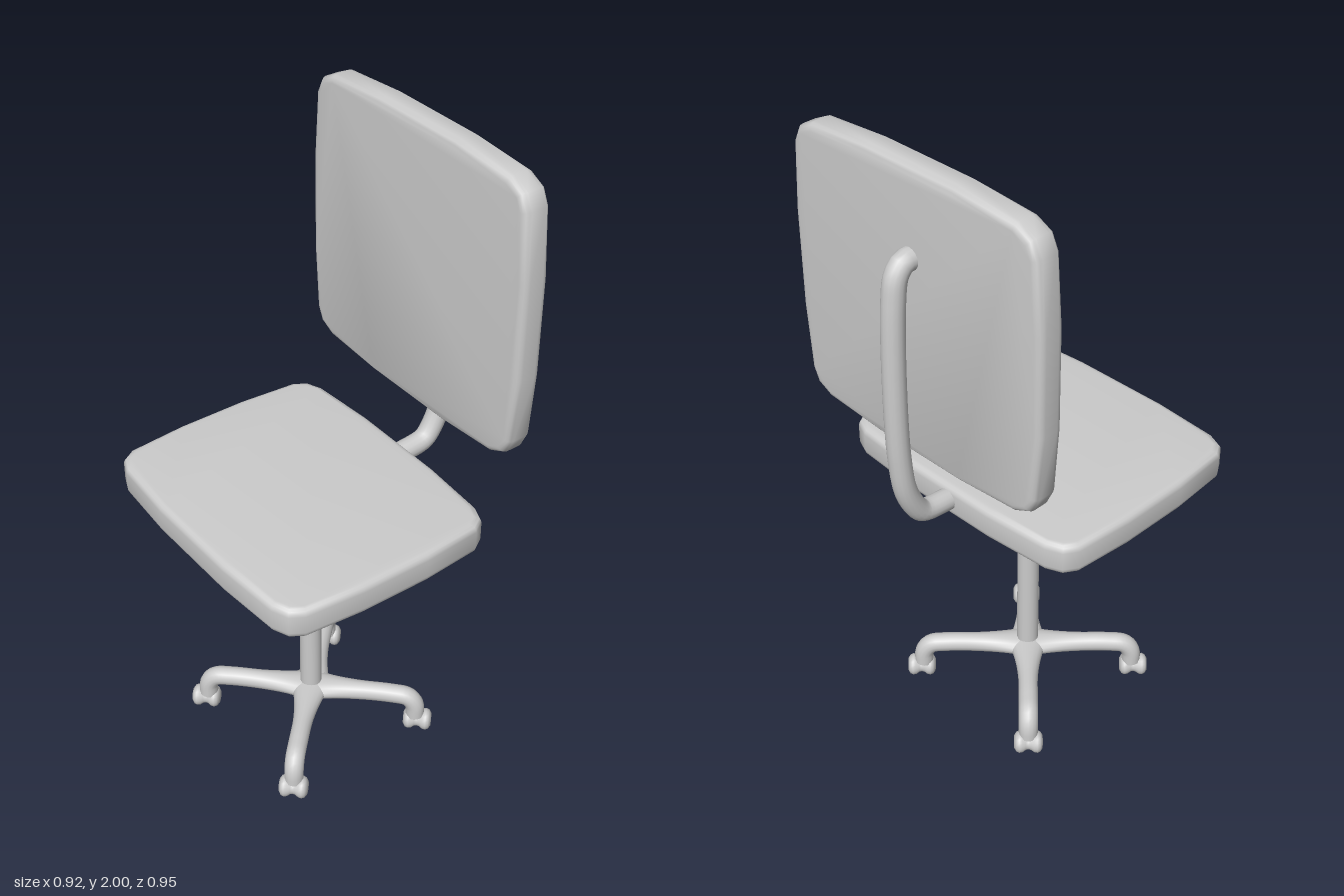
import * as THREE from 'three';
import { mergeVertices, toCreasedNormals } from 'three/addons/utils/BufferGeometryUtils.js';

const material = new THREE.MeshStandardMaterial({ color: 0xcccccc });
const POST_Z = 0.0625;

function addMesh(parent, name, geometry) {
  const mesh = new THREE.Mesh(geometry, material);
  mesh.name = name;
  parent.add(mesh);
  return mesh;
}

// Pad with bulging sides: one corner of the outline is mirrored into all four
function cushionGeometry(corner, thickness) {
  const back = [...corner].reverse();
  const outline = [
    ...corner,
    ...back.map(([x, y]) => [-x, y]),
    ...corner.map(([x, y]) => [-x, -y]),
    ...back.map(([x, y]) => [x, -y]),
  ].map(([x, y]) => new THREE.Vector2(x, y));
  const bevel = 0.022;
  const geometry = new THREE.ExtrudeGeometry(new THREE.Shape(outline), {
    depth: thickness - 2 * bevel,
    bevelThickness: bevel, bevelSize: bevel, bevelOffset: -bevel, bevelSegments: 4,
  });
  geometry.translate(0, 0, bevel - thickness / 2);
  return toCreasedNormals(geometry, 0.8);
}

function smoothPath(points) {
  return new THREE.CatmullRomCurve3(points.map((p) => new THREE.Vector3(...p)));
}

// Base leg running out along +x, turned down at the end, widening towards the hub
function legGeometry() {
  const path = smoothPath([
    [0, 0.134, 0], [0.14, 0.134, 0], [0.26, 0.134, 0],
    [0.31, 0.127, 0], [0.331, 0.1, 0], [0.335, 0.055, 0],
  ]);
  const tube = new THREE.TubeGeometry(path, 36, 0.03, 16);
  const pos = tube.attributes.position;
  for (let i = 0; i < pos.count; i++) {
    const near = Math.max(0, 1 - pos.getX(i) / 0.2);
    pos.setZ(i, pos.getZ(i) * (1 + 1.1 * near * near));
  }
  tube.deleteAttribute('uv');
  tube.deleteAttribute('normal');
  const geometry = mergeVertices(tube);
  geometry.computeVertexNormals();
  return geometry;
}

// Twin wheel with a narrow waist, lying along its axle
function casterGeometry() {
  const half = [[0, 0.045], [0.02, 0.044], [0.031, 0.037], [0.035, 0.028], [0.033, 0.018], [0.026, 0.008]];
  const profile = [
    ...half.map(([r, h]) => new THREE.Vector2(r, -h)),
    new THREE.Vector2(0.024, 0),
    ...[...half].reverse().map(([r, h]) => new THREE.Vector2(r, h)),
  ];
  return new THREE.LatheGeometry(profile, 20).rotateZ(Math.PI / 2).rotateY(Math.PI / 4);
}

export function createModel() {
  const chair = new THREE.Group();
  chair.name = 'officeChair';

  // Seat
  const seat = addMesh(chair, 'seat', cushionGeometry(
    [[0.46, 0.11], [0.445, 0.295], [0.42, 0.335], [0.37, 0.356], [0.16, 0.371]], 0.1));
  seat.rotation.x = -Math.PI / 2;
  seat.position.set(0, 0.905, 0.101);

  // Backrest
  const backrest = addMesh(chair, 'backrest', cushionGeometry(
    [[0.46, 0.15], [0.445, 0.355], [0.423, 0.402], [0.37, 0.428], [0.16, 0.443]], 0.086));
  backrest.position.set(0, 1.557, -0.33);

  // Bent tube joining seat and backrest
  const supportPath = smoothPath([
    [0, 0.905, -0.2], [0, 0.91, -0.28], [0, 0.922, -0.36], [0, 0.943, -0.383],
    [0, 1.02, -0.42], [0, 1.14, -0.438], [0, 1.4, -0.443], [0, 1.64, -0.433],
    [0, 1.71, -0.42], [0, 1.738, -0.395], [0, 1.741, -0.35],
  ]);
  addMesh(chair, 'backSupport', new THREE.TubeGeometry(supportPath, 60, 0.033, 16));

  // Centre post
  const post = addMesh(chair, 'post', new THREE.CylinderGeometry(0.034, 0.034, 0.77, 20));
  post.position.set(0, 0.485, POST_Z);

  // Four diagonal legs with casters
  const base = new THREE.Group();
  base.name = 'base';
  base.position.z = POST_Z;
  chair.add(base);
  const leg = legGeometry();
  const caster = casterGeometry();
  for (let i = 0; i < 4; i++) {
    const angle = Math.PI / 4 + (i * Math.PI) / 2;
    addMesh(base, 'leg', leg).rotation.y = angle;
    addMesh(base, 'caster', caster).position.set(0.343 * Math.cos(angle), 0.035, -0.343 * Math.sin(angle));
  }

  return chair;
}
